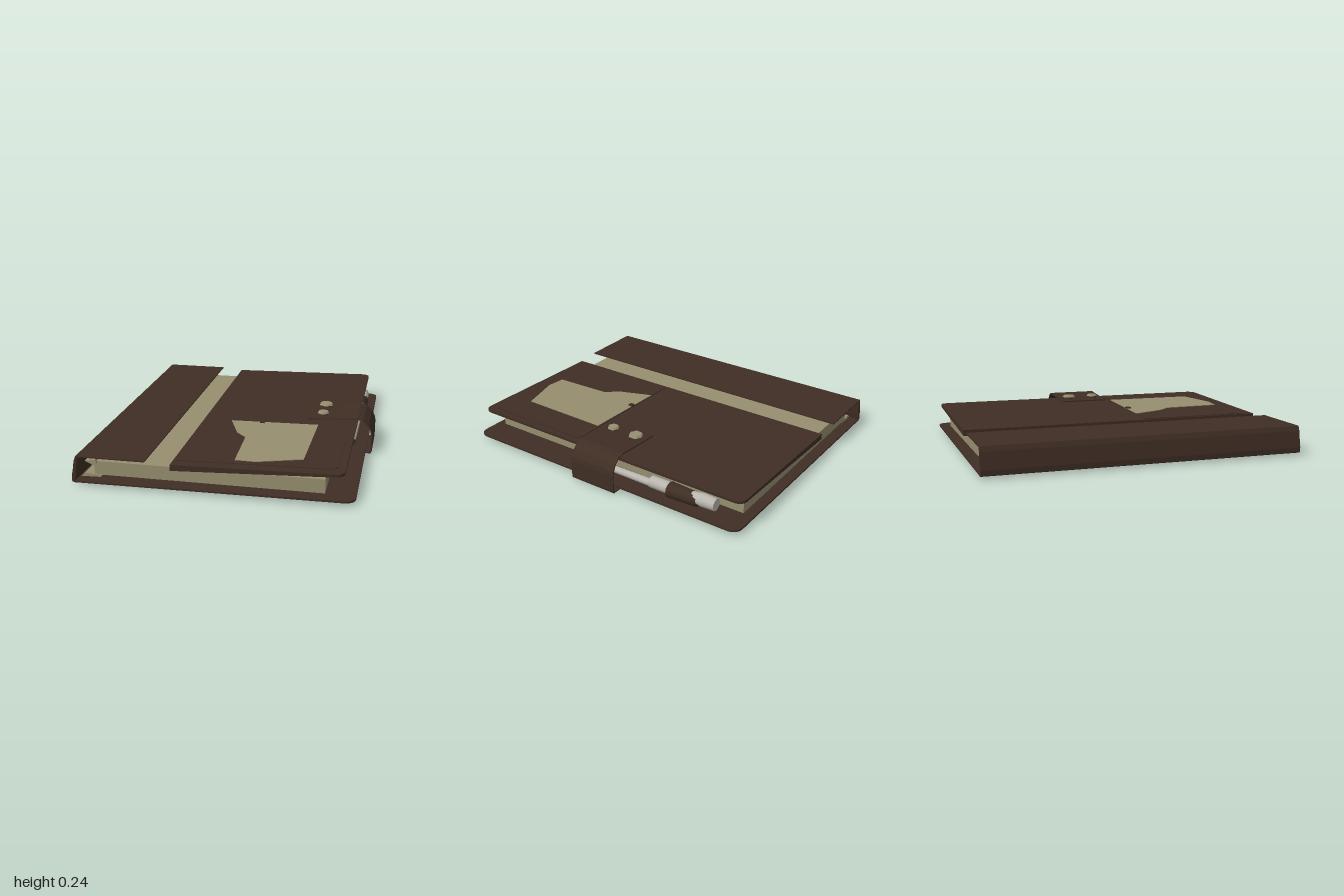
import * as THREE from 'three';

const mat = (name, color) => {
  const m = new THREE.MeshStandardMaterial({ color });
  m.name = name;
  return m;
};

export function createModel() {
  const leather = mat('leather', 0x3f2e24);
  const paper = mat('paper', 0x968e6f);
  const silver = mat('silver', 0xb9b6b0);
  const root = new THREE.Group();
  root.name = 'notebook';

  const add = (name, geometry, material, x = 0, y = 0, z = 0, parent = root) => {
    const mesh = new THREE.Mesh(geometry, material);
    mesh.name = name;
    mesh.position.set(x, y, z);
    parent.add(mesh);
    return mesh;
  };

  // Plan outline [x, z] raised to a plate; bottom(x) and top(x) give its heights
  const plate = (outline, bottom, top) => {
    const shape = new THREE.Shape(outline.map(([x, z]) => new THREE.Vector2(x, -z)));
    const g = new THREE.ExtrudeGeometry(shape, { depth: 1, bevelEnabled: false });
    g.rotateX(-Math.PI / 2);
    const p = g.attributes.position;
    for (let i = 0; i < p.count; i++) {
      p.setY(i, p.getY(i) > 0.5 ? top(p.getX(i)) : bottom(p.getX(i)));
    }
    g.computeVertexNormals();
    return g;
  };
  const slope = (x0, y0, x1, y1) => x => y0 + (y1 - y0) * (x - x0) / (x1 - x0);

  // Rectangle with softened corners on its right side
  const coverOutline = (x0, x1, r, z0, z1) => {
    const pts = [[x0, z0], [x0, z1]];
    for (let i = 0; i <= 4; i++) {
      const a = i / 4 * Math.PI / 2;
      pts.push([x1 - r + r * Math.sin(a), z1 - r + r * Math.cos(a)]);
    }
    for (let i = 0; i <= 4; i++) {
      const a = i / 4 * Math.PI / 2;
      pts.push([x1 - r + r * Math.cos(a), z0 + r - r * Math.sin(a)]);
    }
    return pts;
  };

  // Profile [x, y] swept along z
  const sweep = (profile, z0, z1) => {
    const shape = new THREE.Shape(profile.map(p => new THREE.Vector2(...p)));
    const g = new THREE.ExtrudeGeometry(shape, { depth: z1 - z0, bevelEnabled: false });
    return g.translate(0, 0, z0);
  };

  // Covers
  add('backCover', plate(coverOutline(-0.835, 0.81, 0.06, -1, 0.995),
    slope(-0.84, 0.013, 0.81, 0.026), slope(-0.84, 0.022, 0.81, 0.038)), leather);
  add('frontCover', plate(coverOutline(-0.25, 0.745, 0.05, -0.99, 0.99),
    slope(-0.25, 0.133, 0.745, 0.176), slope(-0.25, 0.17, 0.745, 0.192)), leather);

  // Spine with the flap folding over the top
  add('spine', sweep([
    [-0.835, 0.013], [-0.847, 0.018], [-0.848, 0.05], [-0.838, 0.1], [-0.83, 0.15], [-0.818, 0.18],
    [-0.40, 0.181], [-0.40, 0.174], [-0.81, 0.173], [-0.815, 0.12], [-0.822, 0.06], [-0.83, 0.022],
  ], -1, 0.995), leather);
  add('spinePatch', plate([[-0.82, -0.82], [-0.8, -0.62], [-0.75, -0.64], [-0.74, -0.78]],
    () => 0.009, () => 0.014), paper);

  // Page block and the flared endpapers beside the spine
  add('pages', new THREE.BoxGeometry(1.365, 0.085, 1.87), paper, -0.047, 0.089, -0.005);
  add('lowerEndpaper', sweep([[-0.81, 0.033], [-0.69, 0.036], [-0.68, 0.048], [-0.79, 0.055]], -0.94, 0.94), paper);
  add('upperEndpaper', sweep([[-0.785, 0.132], [-0.73, 0.105], [-0.71, 0.12], [-0.72, 0.142]], -0.94, 0.94), paper);

  // Pocket on the front cover with a torn paper insert
  const pocketTop = slope(-0.24, 0.174, 0.72, 0.196);
  add('pocket', plate(coverOutline(-0.235, 0.70, 0.04, 0.21, 0.92),
    x => pocketTop(x) - 0.008, pocketTop), leather);
  add('pocketInsert', plate([[-0.06, 0.21], [0.02, 0.42], [0.09, 0.5], [0.105, 0.875],
    [0.23, 0.885], [0.495, 0.81], [0.505, 0.22]],
  pocketTop, x => pocketTop(x) + 0.004), paper);
  add('pocketStud', new THREE.BoxGeometry(0.03, 0.008, 0.03), leather, 0.145, 0.19, 0.225);

  // Closing strap, wrapped around the fore edge
  const outer = [[0.435, 0.212], [0.6, 0.222], [0.745, 0.232], [0.785, 0.222], [0.82, 0.19],
    [0.84, 0.15], [0.846, 0.12], [0.846, 0.012], [0.838, 0], [0.6, 0]];
  const inner = [[0.6, 0.007], [0.832, 0.007], [0.838, 0.015], [0.838, 0.12], [0.832, 0.148],
    [0.813, 0.185], [0.78, 0.214], [0.745, 0.224], [0.6, 0.214], [0.435, 0.204]];
  add('strap', sweep([...outer, ...inner], -0.165, 0.155), leather);

  // Snap fasteners
  [[-0.095, 1.1], [0.08, 0.9]].forEach(([z, s]) => {
    const snap = new THREE.Group();
    snap.name = 'snap';
    snap.position.set(0.52, 0.22, z);
    root.add(snap);
    add('snapBase', new THREE.CylinderGeometry(0.025, 0.035, 0.02, 6), leather, 0, 0.002, 0, snap);
    add('snapCap', new THREE.CylinderGeometry(0.036 * s, 0.044 * s, 0.012, 6), paper, 0, 0.016, 0, snap);
  });

  // Pen lying along the fore edge
  const pen = new THREE.Group();
  pen.name = 'pen';
  pen.position.set(0.72, 0.095, 0);
  root.add(pen);
  const barrel = (name, z0, z1, r0, r1, m, y = 0) => {
    const g = new THREE.CylinderGeometry(r1, r0, Math.abs(z1 - z0), 12);
    g.rotateX(-Math.PI / 2);
    return add(name, g, m, 0, y, (z0 + z1) / 2, pen);
  };
  barrel('penEnd', 0.2, 0.16, 0.018, 0.022, leather, -0.015);
  barrel('penShaft', 0.17, -0.36, 0.02, 0.024, silver, -0.012);
  barrel('penGrip', -0.36, -0.5, 0.038, 0.038, silver);
  barrel('penCap', -0.58, -0.72, 0.02, 0.042, silver, 0.005);
  barrel('penCapEnd', -0.72, -0.81, 0.042, 0.038, silver, 0.005);

  // Loop holding the pen
  barrel('penLoop', -0.49, -0.69, 0.05, 0.042, leather, -0.008);

  return root;
}
